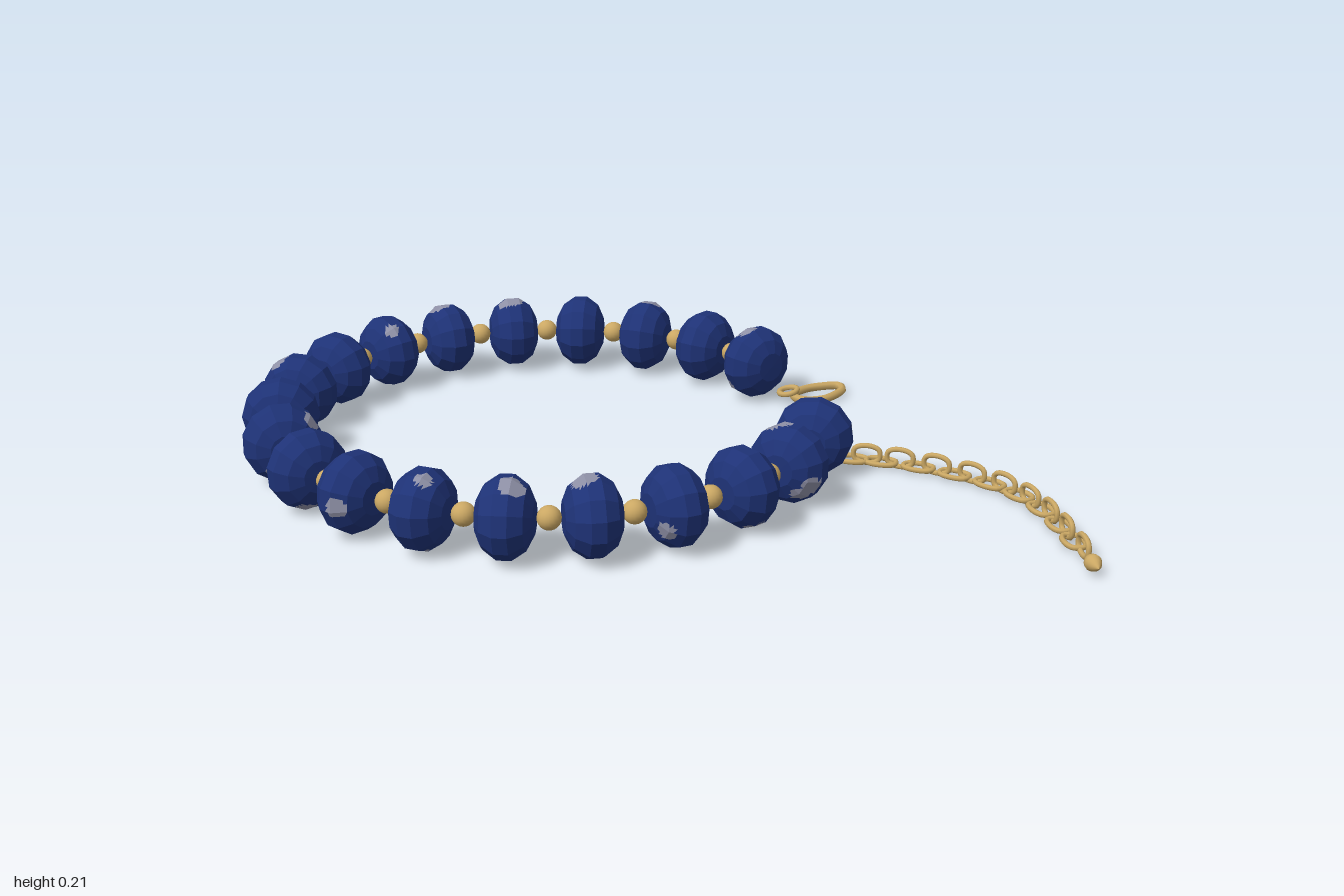
import * as THREE from 'three';

const mat = (name, color) => Object.assign(new THREE.MeshStandardMaterial({ color }), { name });
const blue = mat('deep blue stone', 0x1e3276);
const grey = mat('pale grey fleck', 0x8e90a6);
const gold = mat('gold', 0xcba864);

const CX = -0.179, CZ = -0.116, R = 0.717, Y = 0.112; // bead ring
const COUNT = 20, START = -25.6, STEP = -16.3; // degrees
const UP = new THREE.Vector3(0, 1, 0);

// Pale flecks: bead index, direction from bead centre, angular radius
const FLECKS = [
  [0, -0.03, 0.09, -0.01, 0.32], [0, 0.08, -0.06, 0, 0.25], [2, 0.02, 0.09, -0.03, 0.35],
  [3, 0.05, 0.08, -0.04, 0.2], [4, -0.01, 0.1, 0, 0.42], [5, -0.02, 0.09, -0.02, 0.38],
  [6, 0.01, 0.08, 0.06, 0.22], [8, -0.055, 0.08, -0.02, 0.32], [10, 0.08, 0.06, 0.01, 0.28],
  [13, 0, 0.09, 0.04, 0.22], [14, 0.015, 0.09, 0.03, 0.36], [15, -0.02, 0.095, 0, 0.35],
  [18, -0.02, 0.09, -0.035, 0.38], [18, 0.01, -0.06, 0.07, 0.25], [19, 0.09, 0.02, 0, 0.28],
];

let seed = 7;
const rand = () => (seed = (seed * 16807) % 2147483647) / 2147483647;

function add(group, name, geometry, material, x = 0, y = 0, z = 0) {
  const mesh = new THREE.Mesh(geometry, material);
  mesh.name = name;
  mesh.position.set(x, y, z);
  group.add(mesh);
  return mesh;
}

// Split a triangle into four coplanar ones, repeatedly
function split(tri, depth) {
  if (depth === 0) return [tri];
  const [a, b, c] = tri;
  const mid = (p, q) => p.clone().lerp(q, 0.5);
  const ab = mid(a, b), bc = mid(b, c), ca = mid(c, a);
  return [[a, ab, ca], [ab, b, bc], [ca, bc, c], [ab, bc, ca]].flatMap(t => split(t, depth - 1));
}

// Faceted rondelle threaded along z; small pieces of its facets near a fleck turn grey
function beadGeometry(flecks) {
  const profile = [[0, -0.07], [0.042, -0.069], [0.078, -0.052], [0.102, -0.018],
    [0.102, 0.018], [0.078, 0.052], [0.042, 0.069], [0, 0.07]].map(p => new THREE.Vector2(...p));
  const base = new THREE.LatheGeometry(profile, 12, rand()).rotateX(Math.PI / 2).toNonIndexed();
  const pos = base.attributes.position;
  const sets = [[], []];
  for (let i = 0; i < pos.count; i += 3) {
    const tri = [0, 1, 2].map(k => new THREE.Vector3().fromBufferAttribute(pos, i + k));
    for (const piece of split(tri, 2)) {
      const centre = piece[0].clone().add(piece[1]).add(piece[2]);
      const isGrey = flecks.some(f => centre.angleTo(f.dir) < f.size);
      sets[isGrey ? 1 : 0].push(...piece);
    }
  }
  const geo = new THREE.BufferGeometry().setFromPoints([...sets[0], ...sets[1]]);
  geo.addGroup(0, sets[0].length, 0);
  geo.addGroup(sets[0].length, sets[1].length, 1);
  geo.computeVertexNormals();
  return geo;
}

function makeBeads() {
  const group = new THREE.Group();
  group.name = 'beadStrand';
  const place = (deg) => {
    const a = THREE.MathUtils.degToRad(deg);
    return [a, CX + R * Math.cos(a), CZ + R * Math.sin(a)];
  };
  const spacer = new THREE.SphereGeometry(0.03, 18, 12);
  for (let i = 0; i < COUNT; i++) {
    const [a, x, z] = place(START + i * STEP);
    const flecks = FLECKS.filter(f => f[0] === i).map(([, dx, dy, dz, size]) => (
      { dir: new THREE.Vector3(dx, dy, dz).applyAxisAngle(UP, a), size }));
    // One more fleck somewhere on the lower half
    flecks.push({ dir: new THREE.Vector3(rand() - 0.5, -0.5 * rand(), rand() - 0.5), size: 0.28 });
    const bead = add(group, 'stoneBead', beadGeometry(flecks), [blue, grey], x, Y, z);
    bead.rotation.y = -a;
    if (i < COUNT - 1) {
      const [, sx, sz] = place(START + (i + 0.5) * STEP);
      add(group, 'spacerBead', spacer, gold, sx, Y, sz);
    }
  }
  return group;
}

// Closed wire loop through [x, z] points, lying flat
function wireLoop(points, wire, segments = 32) {
  const curve = new THREE.CatmullRomCurve3(points.map(([x, z]) => new THREE.Vector3(x, 0, z)), true);
  return new THREE.TubeGeometry(curve, segments, wire, 7, true);
}

// Pear-shaped hook ring with its small joining ring
function makeClasp() {
  const group = new THREE.Group();
  group.name = 'clasp';
  const pear = [[0.575, -0.345], [0.57, -0.38], [0.61, -0.42], [0.665, -0.437],
    [0.72, -0.435], [0.722, -0.4], [0.69, -0.36], [0.645, -0.33], [0.6, -0.327]];
  add(group, 'claspRing', wireLoop(pear, 0.012, 56), gold, 0, 0.019, 0);
  const ring = add(group, 'claspJoiningRing', new THREE.TorusGeometry(0.026, 0.008, 8, 24), gold, 0.545, 0.045, -0.345);
  ring.rotation.set(Math.PI / 2, 0.2, 0);
  return group;
}

// Chain of links lying flat, joined by upright links, ending in a drop
function makeChain() {
  const group = new THREE.Group();
  group.name = 'extenderChain';
  const ring = add(group, 'chainJoiningRing', new THREE.TorusGeometry(0.028, 0.008, 8, 24), gold, 0.545, 0.047, 0.105);
  ring.rotation.set(Math.PI / 2 + 0.25, 0, 0);

  const nodes = [[0.595, 0.13], [0.665, 0.163], [0.75, 0.217], [0.826, 0.282], [0.894, 0.358],
    [0.94, 0.443], [0.962, 0.538], [0.968, 0.638], [0.965, 0.737], [0.957, 0.865]];
  const link = (l, w) => wireLoop([[-l, -w * 0.55], [-l * 0.5, -w], [l * 0.5, -w], [l, -w * 0.55],
    [l, w * 0.55], [l * 0.5, w], [-l * 0.5, w], [-l, w * 0.55]], 0.007);
  const flat = link(0.037, 0.023);
  const upright = link(0.033, 0.022).rotateX(Math.PI / 2);
  for (let i = 0; i < nodes.length - 1; i++) {
    const [x, z] = nodes[i], [nx, nz] = nodes[i + 1];
    const [px, pz] = nodes[Math.max(i - 1, 0)];
    add(group, 'flatLink', flat, gold, x, 0.018, z).rotation.y = -Math.atan2(nz - pz, nx - px);
    add(group, 'uprightLink', upright, gold, (x + nx) / 2, 0.035, (z + nz) / 2)
      .rotation.y = -Math.atan2(nz - z, nx - x);
  }

  // Drop, pointed at its far end
  const drop = [[0, -0.03], [0.012, -0.025], [0.02, -0.01], [0.021, 0], [0.015, 0.014], [0.006, 0.026], [0, 0.032]];
  const dropGeo = new THREE.LatheGeometry(drop.map(p => new THREE.Vector2(...p)), 16).rotateX(Math.PI / 2);
  add(group, 'endDrop', dropGeo, gold, 0.948, 0.031, 0.89);
  return group;
}

export function createModel() {
  const model = new THREE.Group();
  model.name = 'beadBracelet';
  model.add(makeBeads(), makeClasp(), makeChain());
  return model;
}
